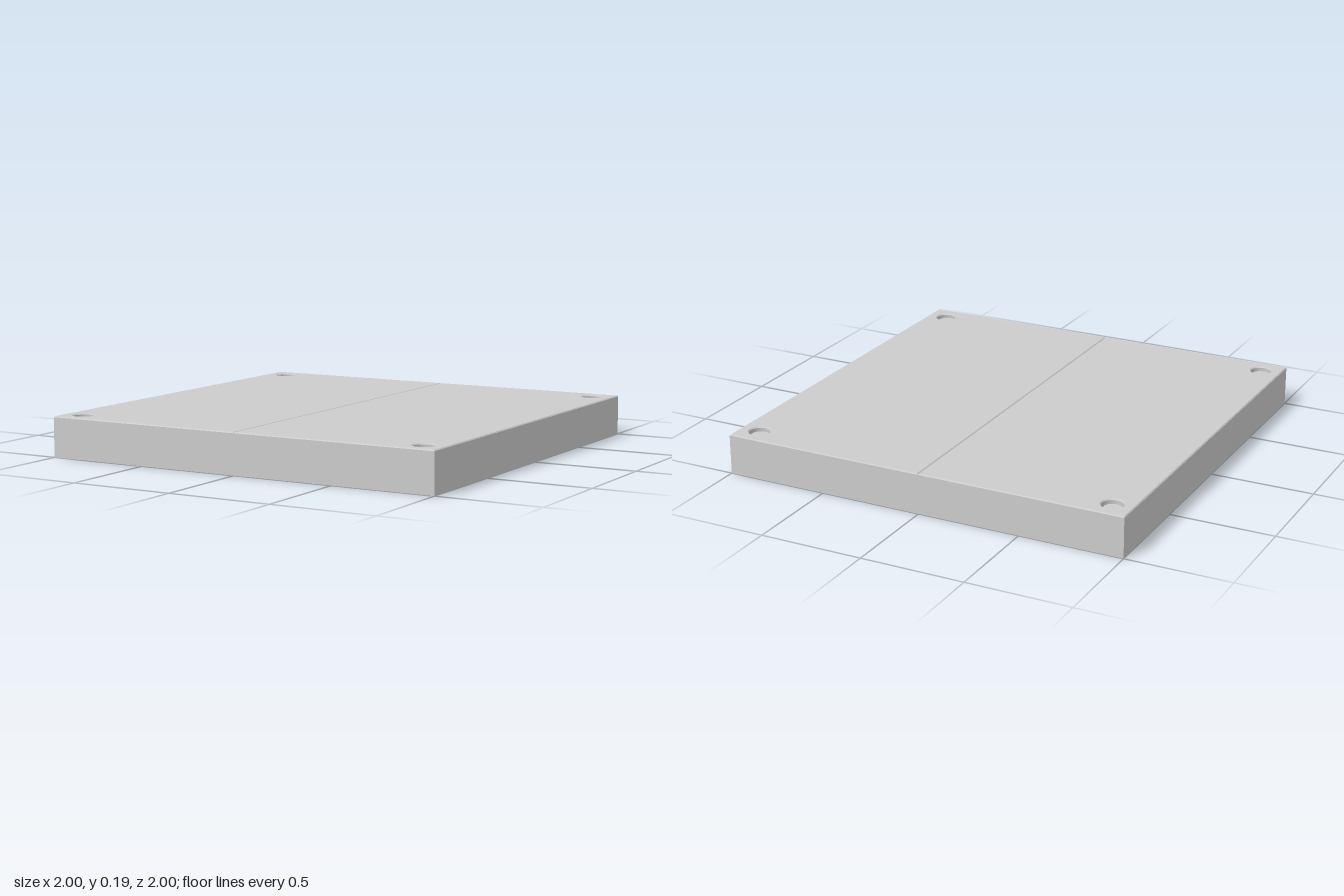
import * as THREE from 'three';

const HEIGHT = 0.195;     // overall thickness
const BASE = 0.16;        // top of the solid base, floor of the sockets
const BEVEL = 0.005;      // chamfer on the upper edges
const CORNER = 0.9;       // socket distance from the centre
const SOCKET_R = 0.05;
const PIN_R = 0.043;

export function createModel() {
  const model = new THREE.Group();
  const material = new THREE.MeshStandardMaterial({ color: 0xcccccc });

  const add = (name, geometry, x, y, z) => {
    const mesh = new THREE.Mesh(geometry, material);
    mesh.name = name;
    mesh.position.set(x, y, z);
    model.add(mesh);
  };

  // Solid base under both panels
  add('base', new THREE.BoxGeometry(2, BASE, 2), 0, BASE / 2, 0);

  // Half panel with two corner sockets; its lower bevel is sunk into the base
  const halfPanel = (side) => {
    const shape = new THREE.Shape();
    const x0 = Math.min(0, side), x1 = Math.max(0, side);
    shape.moveTo(x0, -1);
    shape.lineTo(x1, -1);
    shape.lineTo(x1, 1);
    shape.lineTo(x0, 1);
    shape.closePath();
    for (const end of [-1, 1]) {
      const hole = new THREE.Path();
      hole.absarc(side * CORNER, end * CORNER, SOCKET_R, 0, Math.PI * 2, true);
      shape.holes.push(hole);
    }
    const geometry = new THREE.ExtrudeGeometry(shape, {
      depth: HEIGHT - BASE - BEVEL,
      bevelEnabled: true,
      bevelThickness: BEVEL,
      bevelSize: BEVEL,
      bevelOffset: -BEVEL,
      bevelSegments: 1,
      curveSegments: 32,
    });
    return geometry.rotateX(-Math.PI / 2);
  };

  for (const side of [-1, 1]) {
    // The chamfers of the two panels meet in the centre groove
    add(side > 0 ? 'leftPanel' : 'rightPanel', halfPanel(side), 0, BASE, 0);

    // Recessed round pin inside each socket
    for (const end of [-1, 1]) {
      const h = 0.015;
      add('socketPin', new THREE.CylinderGeometry(PIN_R, PIN_R, h, 32),
        side * CORNER, BASE + h / 2, end * CORNER);
    }
  }
  return model;
}
